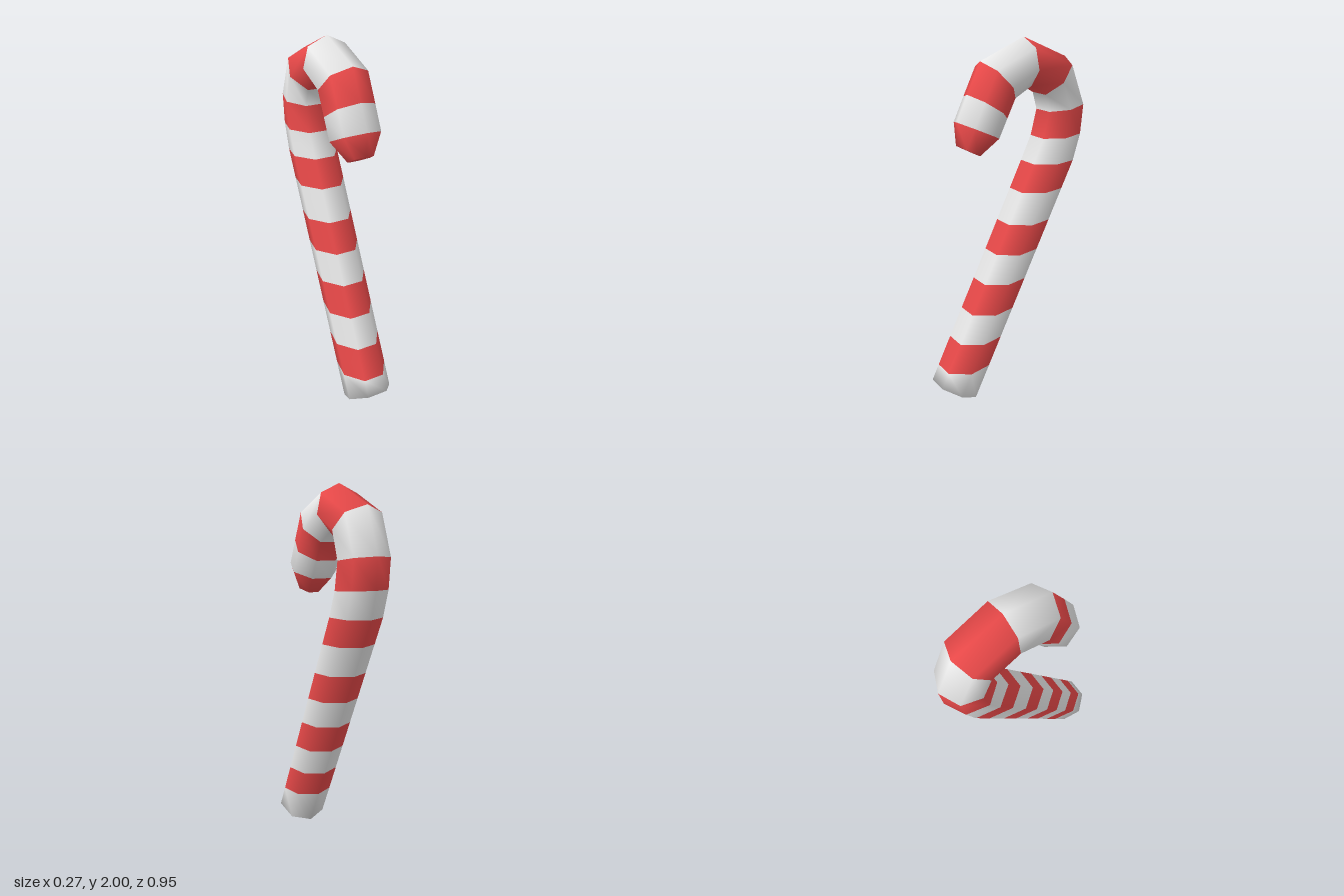
import * as THREE from 'three';

const SIDES = 7;
const RADIUS = 0.137;

// Cross-sections along the cane: inner edge (z, y), outer edge (z, y), half width
function caneRings() {
  const rings = [[0.476, 0.12, 0.243, 0, RADIUS]];
  // level stripe borders up the leaning shaft
  for (const y of [0.205, 0.365, 0.525, 0.69, 0.85, 1.01, 1.18, 1.33]) {
    rings.push([0.476 - (y - 0.12) / 1.99, y, 0.243 - y / 1.99, y, RADIUS]);
  }
  // bend, crook and narrowed tip
  rings.push(
    [-0.196, 1.463, -0.466, 1.478, RADIUS],
    [-0.233, 1.606, -0.476, 1.643, RADIUS],
    [-0.206, 1.70, -0.376, 1.887, RADIUS],
    [-0.111, 1.754, -0.101, 2.0, RADIUS],
    [-0.011, 1.70, 0.164, 1.892, RADIUS],
    [0.04, 1.60, 0.243, 1.733, RADIUS],
    [0.09, 1.50, 0.307, 1.60, RADIUS],
    [0.19, 1.415, 0.307, 1.478, 0.07],
  );
  return rings;
}

function caneGeometry() {
  const rings = caneRings();
  const positions = [];
  const indices = [];
  const geometry = new THREE.BufferGeometry();
  const inner = Math.cos(Math.PI / SIDES);

  // seven-sided sections with a corner on the outer edge and a flat inside
  for (const [zi, yi, zo, yo, r] of rings) {
    for (let j = 0; j < SIDES; j++) {
      const a = (j / SIDES) * Math.PI * 2;
      const f = (1 - Math.cos(a)) / (1 + inner);
      positions.push(r * Math.sin(a), yo + (yi - yo) * f, zo + (zi - zo) * f);
    }
  }

  const addGroup = (start, material) =>
    geometry.addGroup(start, indices.length - start, material);

  // base cap
  for (let j = 1; j < SIDES - 1; j++) indices.push(0, j, j + 1);
  addGroup(0, 0);

  // alternating bands
  for (let i = 0; i < rings.length - 1; i++) {
    const start = indices.length;
    for (let j = 0; j < SIDES; j++) {
      const k = (j + 1) % SIDES;
      const a = i * SIDES + j, b = i * SIDES + k;
      const c = b + SIDES, d = a + SIDES;
      indices.push(a, d, c, a, c, b);
    }
    addGroup(start, i % 2);
  }

  // tip cap
  const start = indices.length;
  const e = (rings.length - 1) * SIDES;
  for (let j = 1; j < SIDES - 1; j++) indices.push(e, e + j + 1, e + j);
  addGroup(start, 1);

  geometry.setAttribute('position', new THREE.Float32BufferAttribute(positions, 3));
  geometry.setIndex(indices);
  geometry.computeVertexNormals();
  return geometry;
}

export function createModel() {
  const white = new THREE.MeshStandardMaterial({ color: 0xeeeeee });
  white.name = 'white sugar';
  const red = new THREE.MeshStandardMaterial({ color: 0xec4a4a });
  red.name = 'red sugar';

  const group = new THREE.Group();
  group.name = 'candyCane';
  const cane = new THREE.Mesh(caneGeometry(), [white, red]);
  cane.name = 'stripedCane';
  group.add(cane);
  return group;
}
